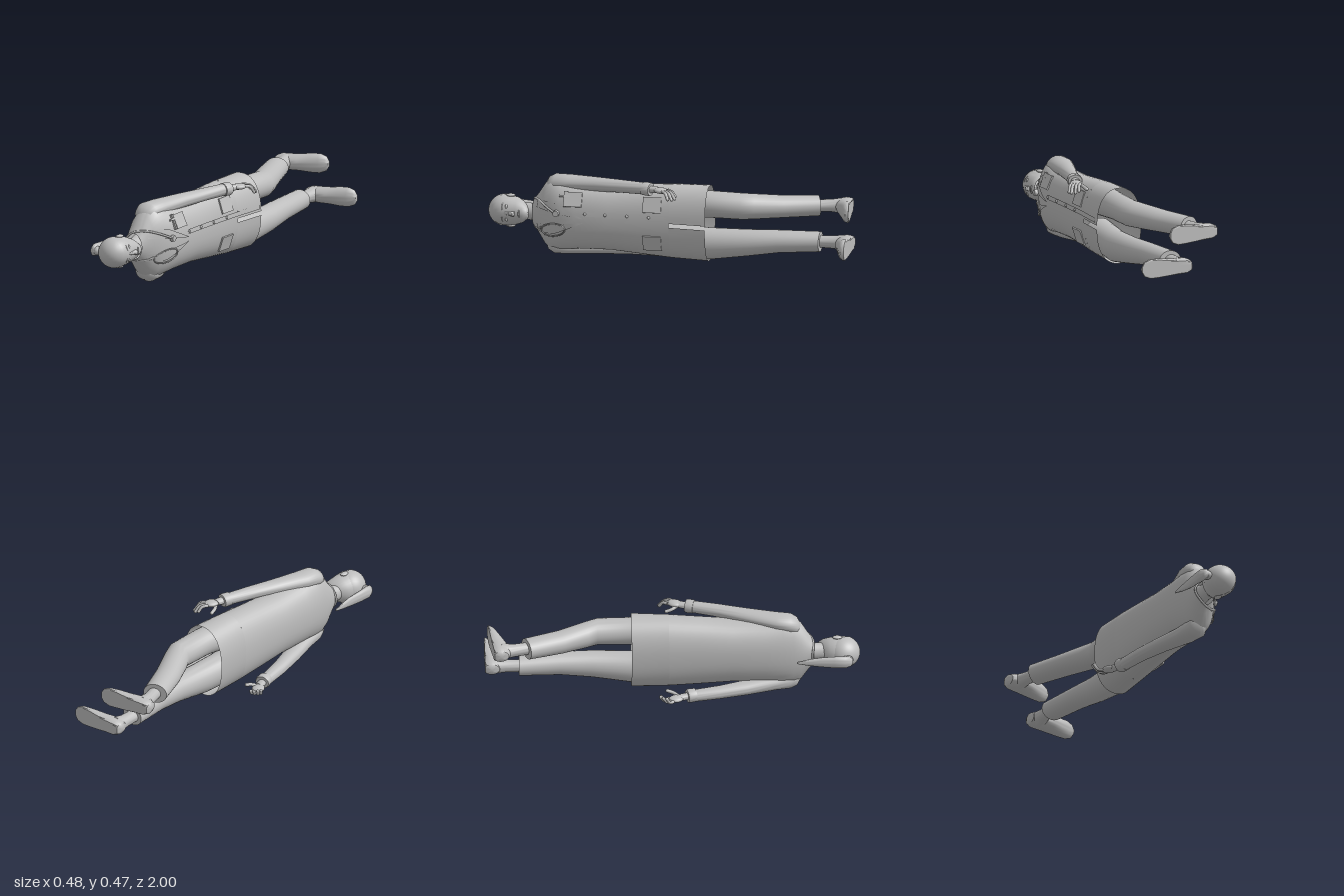
import * as THREE from 'three';
import { toCreasedNormals } from 'three/addons/utils/BufferGeometryUtils.js';

// The figure lies along z (head at +z), its chest faces +x, its sides are +-y about MID.
const MID = 0.235;
const plain = new THREE.MeshStandardMaterial({ color: 0xbdbdbd, side: THREE.DoubleSide });
plain.name = 'plainGrey';

// Rings: [t, c1, c2, r1, r2, power = 2, tilt = 0], t rising along z (or along x).
function loft(rings, { seg = 28, axis = 'z', gap = 0, caps = true } = {}) {
  const pos = [], idx = [];
  const put = (t, u, v) => (axis === 'z' ? pos.push(u, v, t) : pos.push(t, u, v));
  const ringPoints = ([t, c1, c2, r1, r2, p = 2, tilt = 0]) => {
    for (let j = 0; j <= seg; j++) {
      const a = gap + (j / seg) * (Math.PI * 2 - 2 * gap);
      const c = Math.cos(a), s = Math.sin(a);
      const u = r1 * Math.sign(c) * Math.abs(c) ** (2 / p);
      put(t + tilt * u, c1 + u, c2 + r2 * Math.sign(s) * Math.abs(s) ** (2 / p));
    }
  };
  rings.forEach(ringPoints);
  const w = seg + 1;
  for (let i = 0; i < rings.length - 1; i++) for (let j = 0; j < seg; j++) {
    const a = i * w + j, b = a + 1, c = a + w, d = c + 1;
    idx.push(a, b, c, b, d, c);
  }
  if (caps) for (const last of [false, true]) {
    const r = rings[last ? rings.length - 1 : 0], base = pos.length / 3;
    ringPoints(r);
    put(r[0], r[1], r[2]);
    for (let j = 0; j < seg; j++) idx.push(base + w, ...(last ? [base + j, base + j + 1] : [base + j + 1, base + j]));
  }
  const g = new THREE.BufferGeometry();
  g.setAttribute('position', new THREE.Float32BufferAttribute(pos, 3));
  g.setIndex(idx);
  return toCreasedNormals(g, 0.9);
}

const coatRings = [
  [-0.22, 0.01, MID, 0.13, 0.205, 2.3], [-0.02, 0.002, MID, 0.123, 0.2, 2.3], [0.15, -0.002, MID, 0.121, 0.188, 2.3],
  [0.32, -0.004, MID, 0.121, 0.175, 2.3], [0.5, -0.004, MID, 0.122, 0.178, 2.3], [0.59, -0.008, MID, 0.113, 0.19, 2.2],
  [0.645, -0.014, MID, 0.1, 0.195, 2.1], [0.685, -0.022, MID, 0.085, 0.165], [0.72, -0.028, MID, 0.068, 0.11],
  [0.75, -0.032, MID, 0.054, 0.07],
];
// Height of the coat front at a given side position and z
function frontX(y, z) {
  let i = 0;
  while (i < coatRings.length - 2 && coatRings[i + 1][0] < z) i++;
  const A = coatRings[i], B = coatRings[i + 1];
  const k = THREE.MathUtils.clamp((z - A[0]) / (B[0] - A[0]), 0, 1);
  const [, cx, cy, rx, ry, p] = A.map((v, n) => THREE.MathUtils.lerp(v, B[n] ?? 2, k));
  const q = Math.min(Math.abs((y - cy) / ry), 1), e = p || 2;
  return cx + rx * (1 - q ** e) ** (1 / e);
}

export function createModel() {
  const model = new THREE.Group();
  const add = (name, geo, parent = model) => {
    const m = new THREE.Mesh(geo, plain);
    m.name = name;
    parent.add(m);
    return m;
  };
  const ball = (name, x, y, z, rx, ry, rz, parent) => {
    const m = add(name, new THREE.SphereGeometry(1, 20, 14), parent);
    m.position.set(x, y, z);
    m.scale.set(rx, ry, rz);
    return m;
  };
  const tube = (name, pts, r, closed = false, parent = model) => add(name, new THREE.TubeGeometry(
    new THREE.CatmullRomCurve3(pts.map((p) => new THREE.Vector3(...p)), closed), 32, r, 8, closed), parent);
  const onCoat = (mesh, y, z, lift = 0.002) => {
    mesh.position.set(frontX(y, z) + lift, y, z);
    mesh.rotation.z = Math.atan(-(frontX(y + 0.01, z) - frontX(y - 0.01, z)) / 0.02);
  };
  // Thin cloth strip that follows the coat front; edges(v) gives z and both y limits
  const cloth = (name, edges, lift) => {
    const g = new THREE.PlaneGeometry(1, 1, 4, 12), p = g.attributes.position;
    for (let i = 0; i < p.count; i++) {
      const [z, y0, y1] = edges(p.getY(i) + 0.5);
      const y = y0 + (y1 - y0) * (p.getX(i) + 0.5);
      p.setXYZ(i, frontX(y, z) + lift, y, z);
    }
    g.computeVertexNormals();
    add(name, g);
  };

  // Coat: closed body, and a skirt slit at the front
  add('coatBody', loft(coatRings.slice(1), { seg: 40, caps: false }));
  add('coatSkirt', loft(coatRings.slice(0, 2), { seg: 40, gap: 0.035, caps: false }));
  cloth('placket', (v) => [-0.2 + v * 0.65, MID + 0.025, MID + 0.05], 0.005);
  for (const s of [1, -1]) {
    cloth('lapel', (v) => [0.45 + v * 0.27, MID + s * (0.01 + v * 0.035),
      MID + s * (0.012 + 0.075 * Math.min(1, v * 1.6))], 0.007);
    const pocket = add('hipPocket', new THREE.BoxGeometry(0.008, 0.085, 0.1));
    onCoat(pocket, MID + s * 0.105, 0.075);
  }
  for (const z of [0.44, 0.33, 0.21, 0.09]) {
    const b = add('button', new THREE.SphereGeometry(0.008, 10, 8));
    onCoat(b, MID + 0.038, z, 0.005);
  }
  onCoat(add('chestPocket', new THREE.BoxGeometry(0.009, 0.08, 0.09)), 0.345, 0.505);
  onCoat(add('pocketFlap', new THREE.BoxGeometry(0.012, 0.084, 0.02)), 0.345, 0.55);
  onCoat(add('pen', new THREE.BoxGeometry(0.01, 0.01, 0.06)), 0.36, 0.555, 0.008);

  // Sleeves with cuffs
  add('leftSleeve', loft([
    [0.1, 0.122, 0.432, 0.034, 0.032], [0.25, 0.078, 0.428, 0.042, 0.034], [0.4, 0.03, 0.42, 0.053, 0.038],
    [0.55, -0.012, 0.41, 0.066, 0.044], [0.63, -0.024, 0.402, 0.066, 0.05], [0.665, -0.028, 0.39, 0.05, 0.044],
    [0.685, -0.03, 0.375, 0.018, 0.02]]));
  add('rightSleeve', loft([
    [0.1, -0.145, 0.033, 0.034, 0.032], [0.25, -0.122, 0.042, 0.042, 0.034], [0.4, -0.085, 0.05, 0.05, 0.038],
    [0.55, -0.035, 0.06, 0.064, 0.044], [0.63, -0.022, 0.068, 0.066, 0.05], [0.665, -0.026, 0.08, 0.05, 0.044],
    [0.685, -0.03, 0.095, 0.018, 0.02]]));

  // Hands, the right one being the left one turned half round the z axis
  function hand(name) {
    const h = new THREE.Group();
    h.name = name;
    add('cuff', loft([[0.075, 0.131, 0.432, 0.036, 0.033, 2, 0.3], [0.085, 0.128, 0.432, 0.04, 0.036, 2, 0.3],
      [0.118, 0.118, 0.432, 0.038, 0.035, 2, 0.3]]), h);
    add('wrist', loft([[0.035, 0.143, 0.434, 0.026, 0.016], [0.1, 0.125, 0.432, 0.022, 0.02]]), h);
    ball('palm', 0.155, 0.434, 0.016, 0.034, 0.016, 0.042, h).rotation.y = -0.45;
    for (let i = 0; i < 4; i++) {
      const tip = [[0.218, 0.402, -0.035], [0.213, 0.4, -0.055], [0.196, 0.402, -0.068], [0.174, 0.41, -0.066]][i];
      const root = [0.178 - i * 0.011, 0.437, 0.006 - i * 0.009];
      const mid = [(root[0] + tip[0]) / 2 + 0.006, 0.432, (root[2] + tip[2]) / 2 - 0.004];
      tube('finger', [root, mid, tip], 0.0085, false, h);
      ball('fingertip', ...tip, 0.0085, 0.0085, 0.0085, h);
    }
    tube('thumb', [[0.135, 0.43, 0.03], [0.118, 0.417, 0.0], [0.113, 0.408, -0.03]], 0.01, false, h);
    ball('thumbTip', 0.113, 0.408, -0.03, 0.01, 0.01, 0.01, h);
    model.add(h);
    return h;
  }
  hand('leftHand');
  const right = hand('rightHand');
  right.rotation.z = Math.PI;
  right.position.set(-0.02, 0.468, 0);

  // Trouser legs and ankles
  add('rightTrouserLeg', loft([
    [-0.82, -0.01, 0.16, 0.063, 0.054], [-0.6, 0.015, 0.156, 0.066, 0.061], [-0.43, 0.03, 0.143, 0.071, 0.072],
    [-0.22, 0.025, 0.126, 0.077, 0.086], [0.05, 0, 0.14, 0.09, 0.085]]));
  add('leftTrouserLeg', loft([
    [-0.782, -0.138, 0.326, 0.06, 0.055, 2, -0.42], [-0.6, -0.068, 0.328, 0.066, 0.06, 2, -0.35],
    [-0.46, -0.002, 0.336, 0.071, 0.068, 2, -0.2], [-0.4, 0.025, 0.34, 0.073, 0.071], [-0.22, 0.022, 0.342, 0.077, 0.072],
    [0.05, 0, 0.33, 0.09, 0.085]]));
  add('rightAnkle', loft([[-0.95, -0.01, 0.16, 0.048, 0.043], [-0.89, -0.015, 0.16, 0.036, 0.034], [-0.8, -0.015, 0.16, 0.036, 0.032]]));
  add('leftAnkle', loft([[-0.915, -0.165, 0.326, 0.048, 0.043], [-0.85, -0.153, 0.326, 0.036, 0.034], [-0.76, -0.128, 0.326, 0.036, 0.032]]));

  // Shoes: lofted heel to toe and cut flat at the sole
  const shoeGeo = loft([
    [-0.15, 0, 0.035, 0.015, 0.02], [-0.142, 0, 0.035, 0.03, 0.042], [-0.115, 0, 0.035, 0.041, 0.056],
    [-0.06, 0, 0.032, 0.043, 0.06], [-0.01, 0.001, 0.024, 0.045, 0.056], [0.05, 0.003, 0.016, 0.052, 0.044],
    [0.1, 0.004, 0.01, 0.053, 0.034], [0.135, 0.005, 0.006, 0.04, 0.024], [0.15, 0.005, 0.004, 0.016, 0.014]], { axis: 'x' });
  const sp = shoeGeo.attributes.position;
  for (let i = 0; i < sp.count; i++) sp.setZ(i, Math.max(sp.getZ(i), 0));
  const shoe = toCreasedNormals(shoeGeo, 0.7);
  add('rightShoe', shoe).position.set(0.085, 0.16, -1);
  const leftShoe = add('leftShoe', shoe);
  leftShoe.position.set(-0.086, 0.326, -0.97);
  leftShoe.rotation.y = 0.117;

  // Neck and head
  add('neck', loft([[0.69, -0.034, MID, 0.05, 0.058], [0.74, -0.032, MID, 0.042, 0.046], [0.83, -0.035, MID, 0.044, 0.045]]));
  add('head', loft([
    [0.772, 0.008, MID, 0.02, 0.018], [0.782, 0, MID, 0.042, 0.036], [0.805, -0.015, MID, 0.06, 0.057],
    [0.84, -0.033, MID, 0.076, 0.073], [0.88, -0.038, MID, 0.082, 0.08], [0.915, -0.04, MID, 0.084, 0.082],
    [0.945, -0.042, MID, 0.078, 0.076], [0.968, -0.044, MID, 0.065, 0.064], [0.985, -0.045, MID, 0.046, 0.046],
    [0.995, -0.045, MID, 0.024, 0.025], [0.998, -0.045, MID, 0.004, 0.004]], { seg: 32 }));
  // Hair cap, open towards the face, with its pole leaning to the back of the head
  const hair = add('hairCap', new THREE.SphereGeometry(1, 32, 16, 0, Math.PI * 2, 0, 1.62).rotateX(Math.PI / 2).rotateY(-0.85));
  hair.position.set(-0.043, MID, 0.912);
  hair.scale.set(0.088, 0.085, 0.088);
  ball('hairKnot', -0.138, MID, 0.935, 0.025, 0.024, 0.026);
  add('ponytail', loft([
    [0.66, -0.165, MID, 0.003, 0.006], [0.72, -0.162, MID, 0.009, 0.018], [0.79, -0.16, MID, 0.014, 0.028],
    [0.86, -0.163, MID, 0.017, 0.033], [0.92, -0.162, MID, 0.024, 0.034], [0.95, -0.155, MID, 0.018, 0.026],
    [0.96, -0.15, MID, 0.005, 0.008]]));
  // Face
  add('nose', loft([[0.842, 0.046, MID, 0.012, 0.013], [0.85, 0.05, MID, 0.015, 0.014], [0.87, 0.045, MID, 0.01, 0.009],
    [0.9, 0.039, MID, 0.006, 0.007]], { seg: 12 }));
  ball('mouth', 0.042, MID, 0.818, 0.008, 0.022, 0.006);
  for (const s of [1, -1]) {
    ball('eye', 0.031, MID + s * 0.033, 0.888, 0.009, 0.014, 0.008);
    tube('eyebrow', [[0.04, MID + s * 0.016, 0.908], [0.036, MID + s * 0.034, 0.914], [0.02, MID + s * 0.054, 0.907]], 0.003);
    ball('ear', -0.035, MID + s * 0.083, 0.878, 0.017, 0.009, 0.026);
  }

  // Stethoscope: neck tube, chest piece and the headset loop
  tube('stethoscopeTube', [[0.125, 0.268, 0.6], [0.085, 0.3, 0.665], [0.025, 0.318, 0.715], [-0.045, 0.305, 0.75], [-0.095, MID, 0.745],
    [-0.045, 0.165, 0.75], [0.02, 0.158, 0.72], [0.065, 0.175, 0.69]], 0.006);
  const disc = add('stethoscopeDisc', new THREE.CylinderGeometry(0.016, 0.018, 0.018, 18).rotateZ(-Math.PI / 2));
  disc.position.set(0.122, 0.268, 0.598);
  const loop = [];
  for (let i = 0; i < 12; i++) {
    const a = (i / 12) * Math.PI * 2;
    const y = 0.172 + 0.035 * Math.sin(a) - 0.01 * Math.cos(a), z = 0.62 + 0.07 * Math.cos(a);
    loop.push([frontX(y, z) + 0.01, y, z]);
  }
  tube('stethoscopeHeadset', loop, 0.004, true);
  return model;
}
